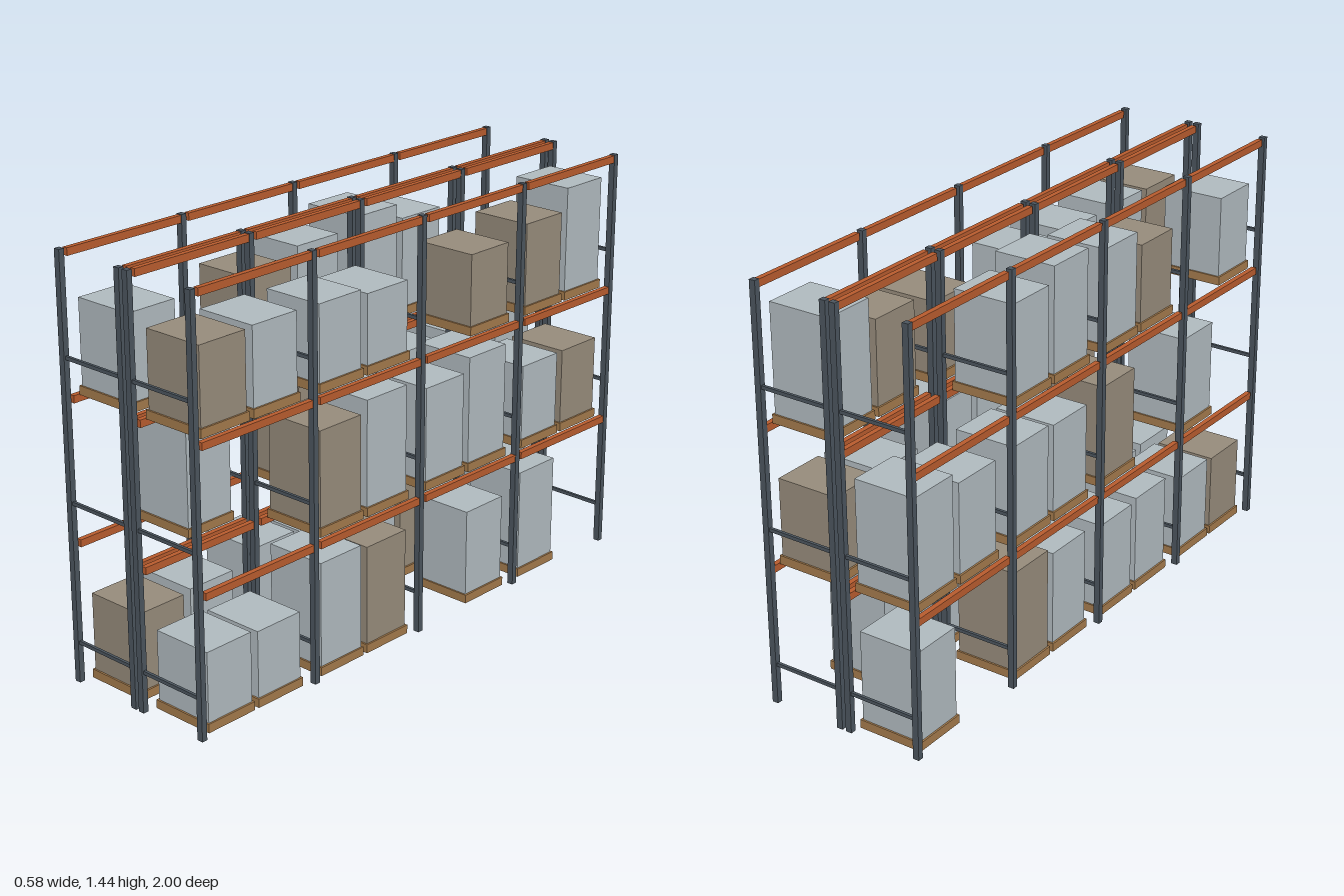
import * as THREE from 'three';

const paint = (color) => new THREE.MeshStandardMaterial({ color });
const steel = paint(0x4b555e), orange = paint(0xb85c2e), wood = paint(0xa37a4c);
const wrap = paint(0xb0babf), carton = paint(0x968b7b);

const HEIGHT = 1.436, POST = 0.022, BAY = 0.495, FIRST = -0.99;
const LEVELS = [0, 0.485, 0.965]; // storage floors
const PALLET_H = 0.03;

// Load tops per level, from the front slot to the back slot.
// 0 is an empty slot, a negative value is a brown carton.
const LOADS = {
  right: [
    [0.27, 0.26, 0.392, -0.375, 0, 0.335, 0.39, 0],
    [0, 0, -0.84, 0.88, 0.84, 0.887, 0.78, -0.78],
    [-1.25, 1.255, 1.25, 1.23, 0, -1.24, -1.28, 1.358],
  ],
  left: [
    [-0.298, 0.307, 0.35, 0.34, 0.362, -0.387, 0, 0.345],
    [0, 0.835, 0, -0.845, 0.82, 0.83, 0.825, 0.865],
    [1.277, 0, -1.266, 1.32, 1.355, 1.302, 0, 0],
  ],
};

function box(parent, name, size, pos, material) {
  const mesh = new THREE.Mesh(new THREE.BoxGeometry(...size), material);
  mesh.position.set(...pos);
  mesh.name = name;
  parent.add(mesh);
}

function slotZ(slot) {
  const bay = 3 - Math.floor(slot / 2);
  return -0.752 + bay * 0.498 + (slot % 2 ? -0.1075 : 0.1075);
}

function buildRack(name, side, loads) {
  const rack = new THREE.Group();
  rack.name = name;
  const outer = side * 0.28, inner = side * 0.0175, mid = side * 0.149;

  // Upright frames with their cross braces
  for (let i = 0; i < 5; i++) {
    const z = FIRST + i * BAY;
    for (const x of [outer, inner])
      box(rack, 'upright', [POST, HEIGHT, 0.02], [x, HEIGHT / 2, z], steel);
    for (const y of [0.14, 0.618, 1.095])
      box(rack, 'crossBrace', [0.262, 0.012, 0.01], [mid, y, z], steel);
  }

  // Load beams of each bay
  for (let i = 0; i < 4; i++)
    for (const y of [0.473, 0.953, 1.421])
      for (const x of [outer, inner])
        box(rack, 'loadBeam', [0.018, 0.025, 0.477], [x, y, FIRST + i * BAY + 0.234], orange);

  // Pallets and the loads standing on them
  loads.forEach((row, level) => row.forEach((value, slot) => {
    if (!value) return;
    const floor = LEVELS[level], z = slotZ(slot);
    const bottom = floor + PALLET_H, top = Math.abs(value);
    box(rack, 'pallet', [0.234, PALLET_H, 0.198], [mid, floor + PALLET_H / 2, z], wood);
    box(rack, 'load', [0.221, top - bottom, 0.186], [mid, (top + bottom) / 2, z],
      value < 0 ? carton : wrap);
  }));
  return rack;
}

export function createModel() {
  const model = new THREE.Group();
  model.name = 'palletRacking';
  model.add(buildRack('rackPlusX', 1, LOADS.right), buildRack('rackMinusX', -1, LOADS.left));
  return model;
}
